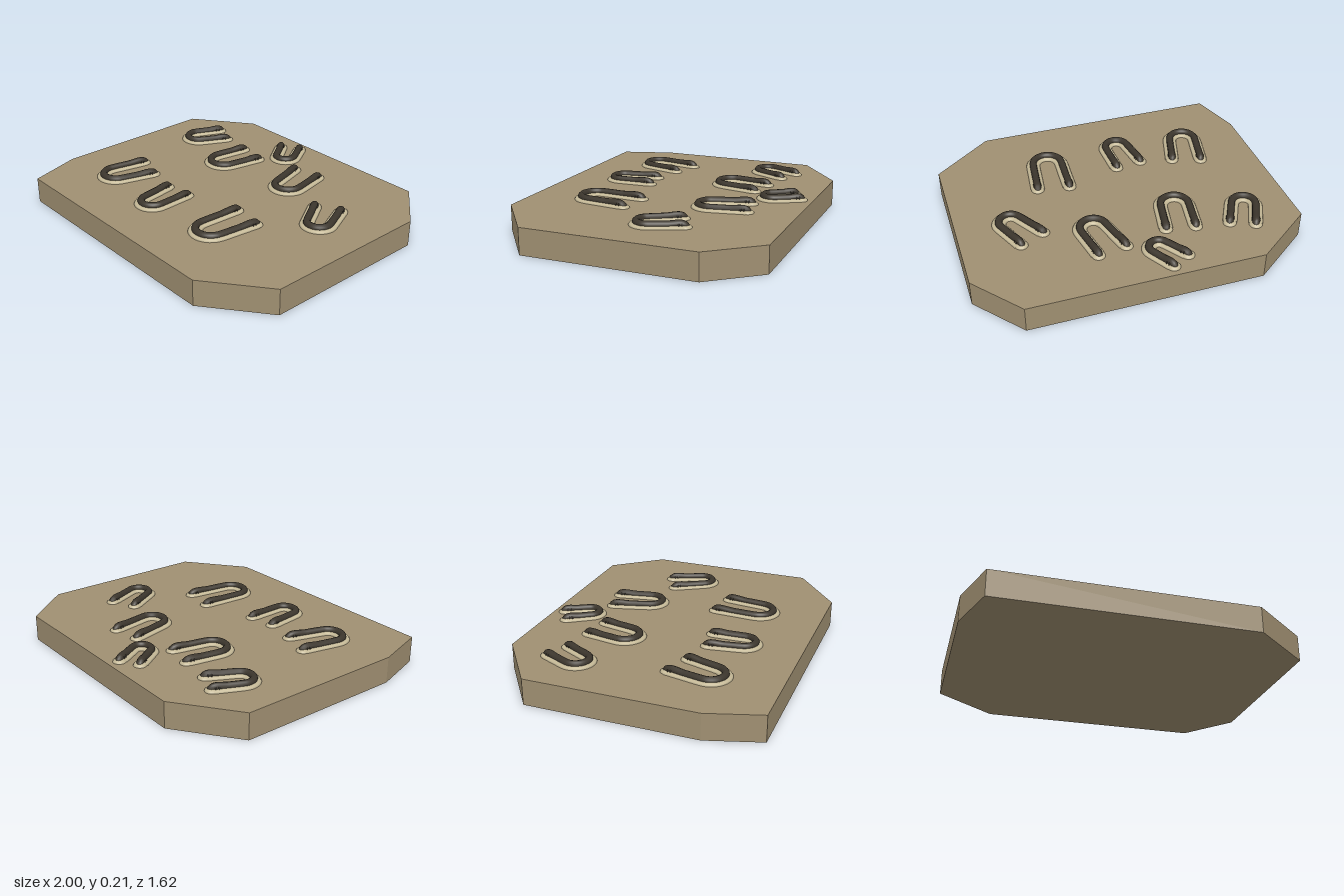
import * as THREE from 'three';

const TOP = 0.16; // upper face of the slab

// Each horseshoe-shaped bar: two free ends, bend centre, bend radius (x, z)
const BARS = [
  { a: [-0.70, -0.54], b: [-0.56, -0.48], c: [-0.705, -0.355], r: 0.072 },
  { a: [-0.355, -0.45], b: [-0.18, -0.42], c: [-0.305, -0.235], r: 0.085 },
  { a: [-0.215, -0.67], b: [-0.105, -0.735], c: [-0.08, -0.575], r: 0.058 },
  { a: [0.09, -0.49], b: [0.265, -0.52], c: [0.225, -0.295], r: 0.08 },
  { a: [0.515, -0.23], b: [0.66, -0.30], c: [0.675, -0.095], r: 0.068 },
  { a: [-0.64, 0.17], b: [-0.465, 0.225], c: [-0.605, 0.405], r: 0.083 },
  { a: [-0.26, 0.27], b: [-0.095, 0.25], c: [-0.16, 0.455], r: 0.072 },
  { a: [0.245, 0.15], b: [0.44, 0.18], c: [0.32, 0.41], r: 0.09 },
];

const material = (color) => new THREE.MeshStandardMaterial({ color });

function add(parent, name, geometry, mat) {
  const mesh = new THREE.Mesh(geometry, mat);
  mesh.name = name;
  parent.add(mesh);
  return mesh;
}

// U-shaped path in the ground plane: arm, half circle, arm
function uPath({ a, b, c, r }) {
  const A = new THREE.Vector3(a[0], 0, a[1]);
  const B = new THREE.Vector3(b[0], 0, b[1]);
  const C = new THREE.Vector3(c[0], 0, c[1]);
  const along = C.clone().sub(A.clone().add(B).multiplyScalar(0.5)).normalize();
  const side = new THREE.Vector3(along.z, 0, -along.x);
  if (side.dot(A.clone().sub(B)) < 0) side.negate();
  const points = [];
  for (let i = 0; i <= 12; i++) {
    const t = (i / 12) * Math.PI;
    points.push(C.clone().addScaledVector(side, r * Math.cos(t)).addScaledVector(along, r * Math.sin(t)));
  }
  const first = points[0].clone(), last = points[12].clone();
  points.unshift(A, A.clone().lerp(first, 0.5));
  points.push(last.lerp(B, 0.5), B);
  return points;
}

export function createModel() {
  const model = new THREE.Group();
  model.name = 'slabWithBars';
  const stone = material(0xa09072);
  const sand = material(0xc4b896);
  const iron = material(0x3c362d);
  stone.flatShading = true;

  // Slab with unevenly cut corners
  const outline = [[-0.64, -0.81], [0.76, -0.81], [1, -0.52], [1, 0.53],
    [0.64, 0.81], [-0.9, 0.81], [-1, 0.49], [-1, -0.54]];
  const shape = new THREE.Shape(outline.map(([x, z]) => new THREE.Vector2(x, -z)));
  const slab = new THREE.ExtrudeGeometry(shape, { depth: TOP, bevelEnabled: false });
  slab.rotateX(-Math.PI / 2);
  add(model, 'slab', slab, stone);

  BARS.forEach((spec, i) => {
    const bar = new THREE.Group();
    bar.name = 'bar' + (i + 1);
    model.add(bar);
    const flat = uPath(spec);
    const n = flat.length - 1;

    // Low rounded bed around the bar
    const bed = add(bar, 'bed', new THREE.TubeGeometry(new THREE.CatmullRomCurve3(flat), 64, 0.043, 12), sand);
    bed.scale.y = 0.4;
    bed.position.y = TOP;

    // Raised rod whose ends dip into the slab
    const raised = flat.map((p) => p.clone().setY(0.178));
    [[0, 1], [n, n - 1]].forEach(([end, next]) => {
      const out = flat[end].clone().sub(flat[next]).normalize();

      // End mound
      const mound = add(bar, 'endMound', new THREE.SphereGeometry(0.04, 16, 10), sand);
      mound.scale.y = 0.5;
      mound.position.copy(flat[end]).addScaledVector(out, 0.005).setY(TOP);

      // Twin collars near the end
      [0.012, 0.03].forEach((d) => {
        const collar = add(bar, 'collar', new THREE.TorusGeometry(0.022, 0.004, 6, 14), iron);
        collar.position.copy(flat[end]).addScaledVector(out, -d).setY(0.175);
        collar.rotation.y = Math.atan2(out.x, out.z);
      });

      const dip = flat[end].clone().addScaledVector(out, 0.022).setY(0.14);
      if (end === 0) raised.unshift(dip);
      else raised.push(dip);
    });
    add(bar, 'rod', new THREE.TubeGeometry(new THREE.CatmullRomCurve3(raised), 80, 0.022, 10), iron);
  });

  return model;
}
